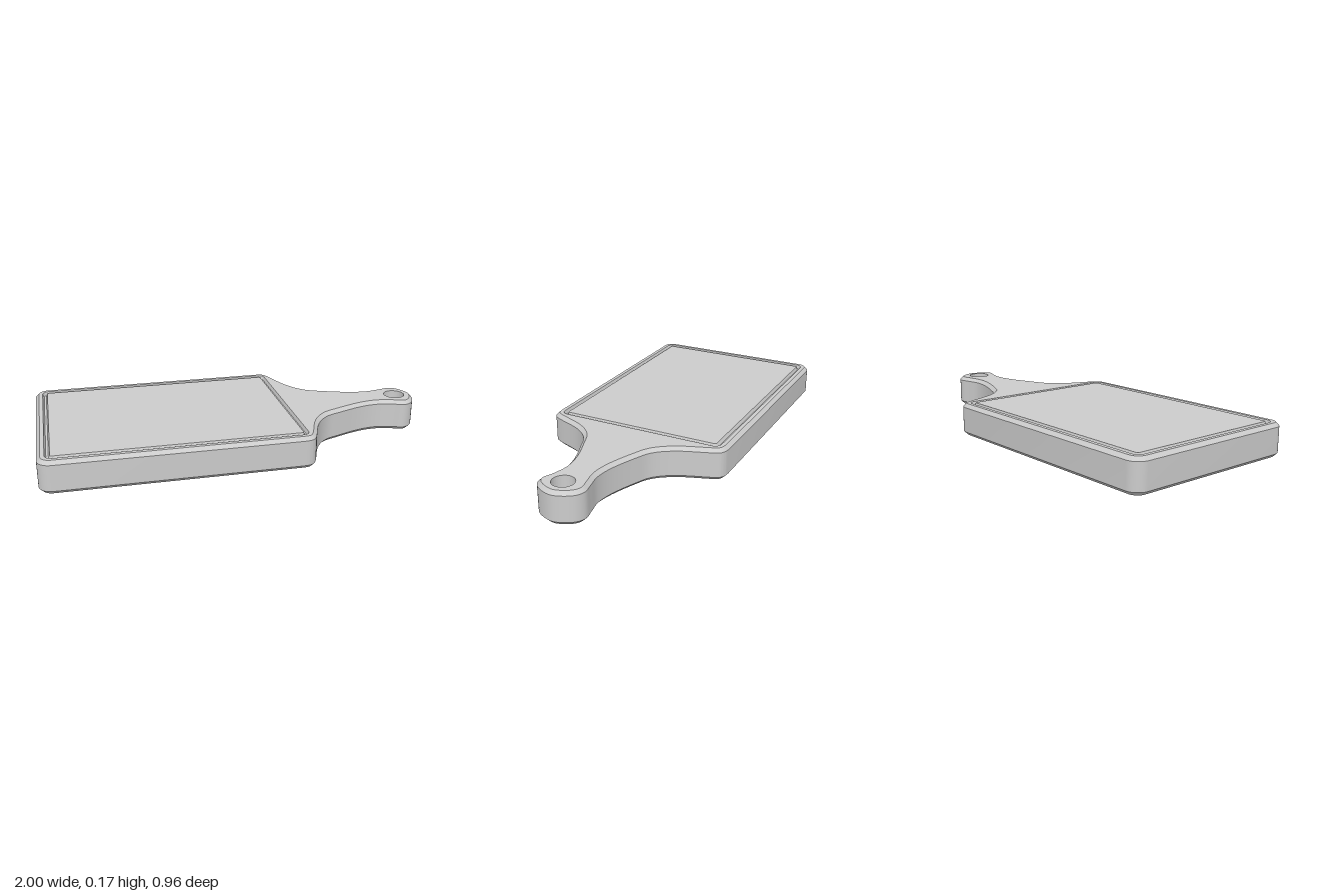
import * as THREE from 'three';
import { toCreasedNormals } from 'three/addons/utils/BufferGeometryUtils.js';

const TOP = 0.165, CHAMFER = 0.018, GROOVE_DEPTH = 0.018;
const material = new THREE.MeshStandardMaterial({ color: 0xcccccc, side: THREE.DoubleSide });

// Plan loops are counter-clockwise, with plan y = -z
const v = (x, y) => new THREE.Vector2(x, y);

function closedPoints(shape, divisions) {
  const pts = shape.getPoints(divisions).filter((p, i, a) => i === 0 || p.distanceTo(a[i - 1]) > 1e-4);
  if (pts[0].distanceTo(pts[pts.length - 1]) < 1e-4) pts.pop();
  return pts;
}

function inset(loop, d) {
  const n = loop.length;
  return loop.map((p, i) => {
    const a = p.clone().sub(loop[(i + n - 1) % n]).normalize();
    const b = loop[(i + 1) % n].clone().sub(p).normalize();
    const t = a.add(b).normalize();
    return v(p.x - t.y * d, p.y + t.x * d);
  });
}

function roundedRect(x0, x1, h, r) {
  const s = new THREE.Shape();
  s.absarc(x1 - r, -h + r, r, -Math.PI / 2, 0);
  s.absarc(x1 - r, h - r, r, 0, Math.PI / 2);
  s.absarc(x0 + r, h - r, r, Math.PI / 2, Math.PI);
  s.absarc(x0 + r, -h + r, r, Math.PI, Math.PI * 1.5);
  return closedPoints(s, 6);
}

// Skin a list of [loop, height] sections
function skin(name, sections) {
  const pos = [];
  for (let s = 0; s < sections.length - 1; s++) {
    const [A, ya] = sections[s], [B, yb] = sections[s + 1];
    A.forEach((a, i) => {
      const j = (i + 1) % A.length;
      const p = [a.x, ya, -a.y], q = [A[j].x, ya, -A[j].y];
      const r = [B[j].x, yb, -B[j].y], t = [B[i].x, yb, -B[i].y];
      pos.push(...p, ...q, ...r, ...p, ...r, ...t);
    });
  }
  const geo = new THREE.BufferGeometry();
  geo.setAttribute('position', new THREE.Float32BufferAttribute(pos, 3));
  const mesh = new THREE.Mesh(toCreasedNormals(geo, 0.6), material);
  mesh.name = name;
  return mesh;
}

function flat(name, loop, holes = []) {
  const shape = new THREE.Shape(loop);
  shape.holes = holes.map((h) => new THREE.Path(h));
  const mesh = new THREE.Mesh(new THREE.ShapeGeometry(shape).rotateX(-Math.PI / 2).translate(0, TOP, 0), material);
  mesh.name = name;
  return mesh;
}

export function createModel() {
  const group = new THREE.Group();
  group.name = 'cuttingBoard';

  // Outline: rectangular board flowing into a handle with a rounded end
  const outline = new THREE.Shape();
  outline.moveTo(-0.935, -0.48);
  outline.lineTo(0.25, -0.48);
  outline.splineThru([
    [0.29, -0.472], [0.32, -0.435], [0.38, -0.29], [0.45, -0.205], [0.54, -0.163], [0.67, -0.115],
    [0.77, -0.1], [0.85, -0.115], [0.915, -0.137], [0.968, -0.105], [1, -0.02], [0.968, 0.063],
    [0.915, 0.097], [0.85, 0.087], [0.77, 0.073], [0.67, 0.087], [0.54, 0.132], [0.45, 0.178],
    [0.38, 0.275], [0.32, 0.435], [0.29, 0.472], [0.25, 0.48],
  ].map(([x, y]) => v(x, y)));
  outline.lineTo(-0.935, 0.48);
  outline.absarc(-0.935, 0.415, 0.065, Math.PI / 2, Math.PI);
  outline.absarc(-0.935, -0.415, 0.065, Math.PI, Math.PI * 1.5);
  const edge = closedPoints(outline, 5);
  const edgeIn = inset(edge, CHAMFER);

  // Side wall with chamfered top and bottom edges, open underneath
  group.add(skin('sideWall', [[edgeIn, 0], [edge, CHAMFER], [edge, TOP - CHAMFER], [edgeIn, TOP]]));

  // Juice groove running around the cutting area
  const g0 = roundedRect(-0.963, 0.287, 0.442, 0.035);
  const [g1, g2, g3] = [0.007, 0.018, 0.025].map((d) => inset(g0, d));
  group.add(skin('juiceGroove', [[g0, TOP], [g1, TOP - GROOVE_DEPTH], [g2, TOP - GROOVE_DEPTH], [g3, TOP]]));

  // Hanging hole through the handle
  const hole = closedPoints(new THREE.Shape().absarc(0.9, -0.02, 0.054, 0, Math.PI * 2), 32);
  group.add(skin('hangingHole', [[hole, TOP], [hole, 0]]));

  // Top surfaces either side of the groove
  group.add(flat('topRim', edgeIn, [g0, hole]));
  group.add(flat('cuttingSurface', g3));
  return group;
}
